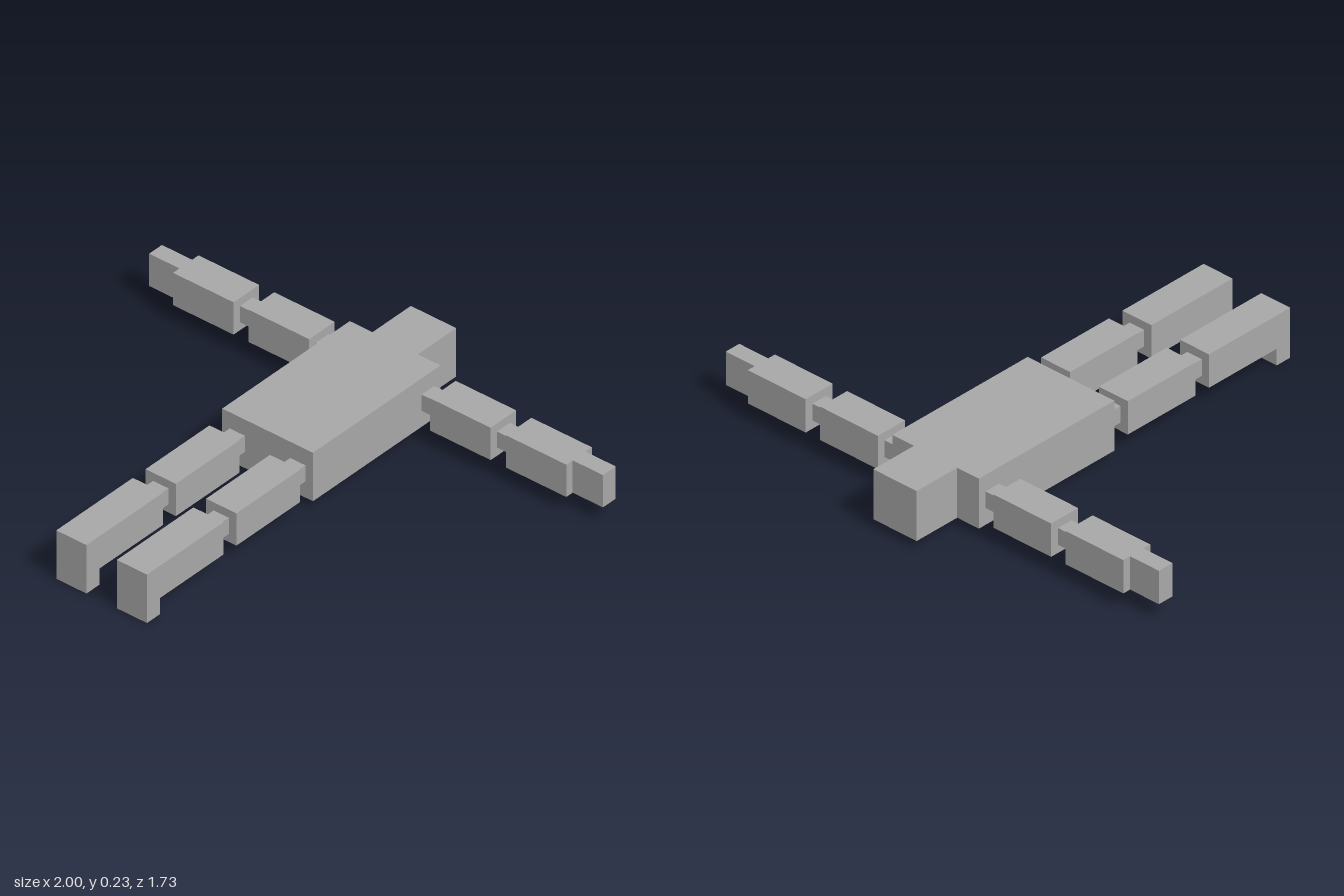
import * as THREE from 'three';

const U = 1 / 30; // the figure is laid out on a grid of 1/30 unit

export function createModel() {
  const model = new THREE.Group();
  model.name = 'lyingBlockFigure';
  const grey = new THREE.MeshStandardMaterial({ color: 0xa8a8a8 });
  grey.name = 'plain grey';

  // Box between two opposite corners, given in grid steps
  const block = (parent, name, [x0, y0, z0], [x1, y1, z1]) => {
    const geometry = new THREE.BoxGeometry(Math.abs(x1 - x0) * U, (y1 - y0) * U, (z1 - z0) * U);
    const mesh = new THREE.Mesh(geometry, grey);
    mesh.name = name;
    mesh.position.set((x0 + x1) / 2 * U, (y0 + y1) / 2 * U, (z0 + z1) / 2 * U);
    parent.add(mesh);
  };

  // Body lying on its back plane, head towards -z
  block(model, 'torso', [-6, 1, -20], [6, 7, 0]);
  block(model, 'head', [-3, 1, -26], [3, 7, -20]);

  // Side profile of lower leg with its foot turned down at the end
  const profile = new THREE.Shape(
    [[14, 2], [24, 2], [24, 0], [26, 0], [26, 6], [14, 6]]
      .map(([z, y]) => new THREE.Vector2(-z * U, y * U)));
  const lowerLegGeometry = new THREE.ExtrudeGeometry(profile, { depth: 4 * U, bevelEnabled: false });
  lowerLegGeometry.translate(0, 0, -2 * U).rotateY(Math.PI / 2); // -z profile axis becomes +z

  for (const [side, s] of [['left', 1], ['right', -1]]) {
    // Arm stretched out sideways
    const arm = new THREE.Group();
    arm.name = side + 'Arm';
    block(arm, 'shoulderJoint', [6 * s, 3, -19], [8 * s, 5, -17]);
    block(arm, 'upperArm', [8 * s, 2, -20], [16 * s, 6, -16]);
    block(arm, 'elbowJoint', [16 * s, 3, -19], [18 * s, 5, -17]);
    block(arm, 'forearm', [18 * s, 2, -20], [26 * s, 6, -16]);
    block(arm, 'hand', [26 * s, 2, -19], [30 * s, 6, -17]);

    // Leg stretched towards +z
    const leg = new THREE.Group();
    leg.name = side + 'Leg';
    block(leg, 'hipJoint', [3 * s, 3, 0], [5 * s, 5, 2]);
    block(leg, 'thigh', [2 * s, 2, 2], [6 * s, 6, 12]);
    block(leg, 'kneeJoint', [3 * s, 3, 12], [5 * s, 5, 14]);
    const lowerLeg = new THREE.Mesh(lowerLegGeometry, grey);
    lowerLeg.name = 'lowerLegAndFoot';
    lowerLeg.position.x = 4 * s * U;
    leg.add(lowerLeg);

    model.add(arm, leg);
  }
  return model;
}
